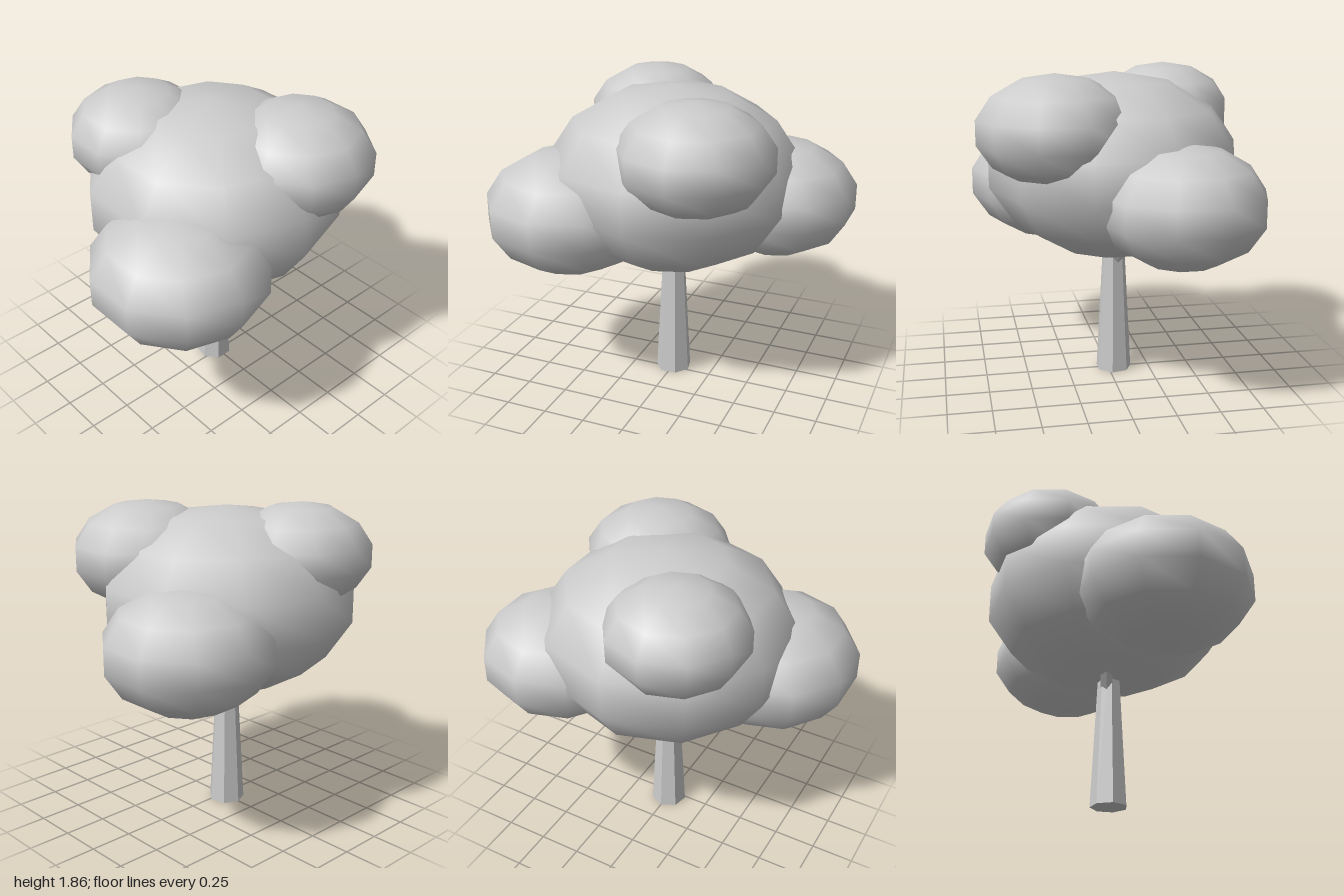
import * as THREE from 'three';

const smooth = new THREE.MeshStandardMaterial({ color: 0xcccccc });
const faceted = new THREE.MeshStandardMaterial({ color: 0xcccccc, flatShading: true });

// Squashed ten-sided puff of leaves with a vertex on the z axis
function puff(name, radius, height, x, y, z) {
  const geometry = new THREE.SphereGeometry(1, 10, 7);
  geometry.rotateY(Math.PI / 2);
  geometry.scale(radius, height, radius);
  const mesh = new THREE.Mesh(geometry, smooth);
  mesh.name = name;
  mesh.position.set(x, y, z);
  return mesh;
}

// Tapered, faceted limb running between two points
function limb(name, from, to, r0, r1, sides, turn) {
  const a = new THREE.Vector3(...from);
  const dir = new THREE.Vector3(...to).sub(a);
  const length = dir.length();
  const geometry = new THREE.CylinderGeometry(r1, r0, length, sides);
  geometry.rotateY(turn);
  geometry.translate(0, length / 2, 0);
  const mesh = new THREE.Mesh(geometry, faceted);
  mesh.name = name;
  mesh.position.copy(a);
  mesh.quaternion.setFromUnitVectors(new THREE.Vector3(0, 1, 0), dir.normalize());
  return mesh;
}

export function createModel() {
  const tree = new THREE.Group();
  tree.name = 'tree';

  // Seven-sided trunk, flat face to the front
  tree.add(limb('trunk', [0, 0, -0.035], [0, 1.0, -0.035], 0.108, 0.055, 7, Math.PI));

  // Two branches that fork into the foliage
  for (const side of [-1, 1]) {
    tree.add(limb(side > 0 ? 'leftBranch' : 'rightBranch',
      [0, 0.68, -0.05], [side * 0.36, 1.04, -0.05], 0.04, 0.025, 5, side * Math.PI / 2));
  }

  // Foliage: a big crown with four smaller puffs around it
  const foliage = new THREE.Group();
  foliage.name = 'foliage';
  foliage.add(
    puff('crown', 0.755, 0.54, 0, 1.285, -0.035),
    puff('lowerFrontPuff', 0.513, 0.365, -0.522, 1.105, 0.275),
    puff('lowerBackPuff', 0.48, 0.345, 0.553, 1.14, -0.313),
    puff('upperFrontPuff', 0.447, 0.315, 0.275, 1.528, 0.345),
    puff('upperBackPuff', 0.412, 0.295, -0.245, 1.56, -0.385),
  );
  tree.add(foliage);
  return tree;
}
